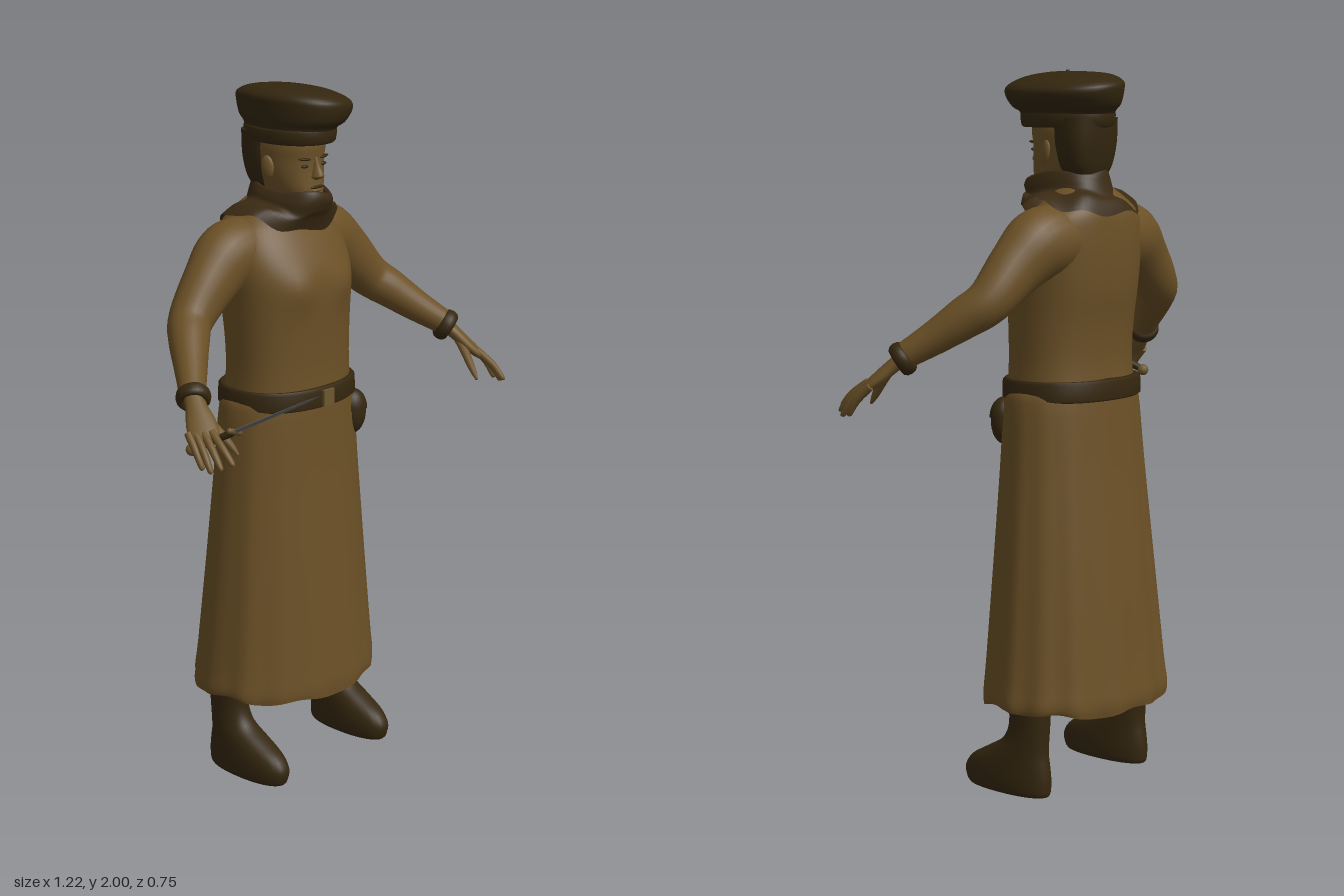
import * as THREE from 'three';

const V = (x, y, z) => new THREE.Vector3(x, y, z);
const mat = (name, color, side = THREE.FrontSide) => {
  const m = new THREE.MeshStandardMaterial({ color, side });
  m.name = name;
  return m;
};

// Smooth spline through rows of numbers, k steps per span
function refine(rows, k) {
  const out = [], at = i => rows[Math.max(0, Math.min(rows.length - 1, i))];
  for (let i = 0; i < rows.length - 1; i++)
    for (let j = 0; j < k; j++) {
      const t = j / k;
      out.push(rows[i].map((b, c) => {
        const a = at(i - 1)[c], d = at(i + 1)[c], e = at(i + 2)[c];
        return b + 0.5 * t * (d - a + t * (2 * a - 5 * b + 4 * d - e + t * (3 * (b - d) + e - a)));
      }));
    }
  out.push(rows[rows.length - 1]);
  return out;
}

// Skin closed rings of points, cap the ends, and turn all faces outward
function skin(rings, capStart = true, capEnd = true) {
  const n = rings[0].length, pts = rings.flat(), idx = [];
  for (let i = 0; i < rings.length - 1; i++)
    for (let j = 0; j < n; j++) {
      const a = i * n + j, b = i * n + (j + 1) % n;
      idx.push(a, a + n, b, b, a + n, b + n);
    }
  const cap = (ring, start, flip) => {
    const c = ring.reduce((s, p) => s.add(p), V(0, 0, 0)).divideScalar(n);
    const base = pts.length;
    pts.push(...ring.map(p => p.clone()), c);
    for (let j = 0; j < n; j++) {
      const a = base + j, b = base + (j + 1) % n;
      flip ? idx.push(b, a, base + n) : idx.push(a, b, base + n);
    }
  };
  if (capStart) cap(rings[0], 0, false);
  if (capEnd) cap(rings[rings.length - 1], 0, true);
  const mid = pts.reduce((s, p) => s.add(p), V(0, 0, 0)).divideScalar(pts.length);
  let vol = 0;
  for (let i = 0; i < idx.length; i += 3) {
    const [a, b, c] = [0, 1, 2].map(k => pts[idx[i + k]].clone().sub(mid));
    vol += a.dot(b.cross(c));
  }
  if (vol < 0) idx.reverse();
  const g = new THREE.BufferGeometry().setFromPoints(pts);
  g.setIndex(idx);
  g.computeVertexNormals();
  return g;
}

// Upright loft; rows are [y, half width, front z, back z, centre x]
function loft(rows, { k = 4, n = 40, pow = 2, warp, caps = [true, true] } = {}) {
  const rs = refine(rows.map(r => [r[0], r[1], r[2], r[3], r[4] || 0]), k);
  const se = v => Math.sign(v) * Math.abs(v) ** (2 / pow);
  const rings = rs.map(([y, w, f, b, cx], i) => Array.from({ length: n }, (_, j) => {
    const a = j / n * Math.PI * 2;
    const p = V(cx + w * se(Math.cos(a)), y, (f + b) / 2 + (f - b) / 2 * se(Math.sin(a)));
    if (warp) warp(p, i / (rs.length - 1), a);
    return p;
  }));
  return skin(rings, ...caps);
}

// Limb along a path; rows are [x, y, z, half width, half thickness]
function limb(rows, side, wide = [0, 0, 1], k = 4, n = 16) {
  const rs = refine(rows, k), ps = rs.map(r => V(r[0] * side, r[1], r[2]));
  const ref = V(wide[0] * side, wide[1], wide[2]);
  return skin(rs.map((r, i) => {
    const t = ps[Math.min(i + 1, ps.length - 1)].clone().sub(ps[Math.max(i - 1, 0)]).normalize();
    const u = ref.clone().addScaledVector(t, -ref.dot(t)).normalize(), v = t.cross(u);
    return Array.from({ length: n }, (_, j) => {
      const a = j / n * Math.PI * 2;
      return ps[i].clone().addScaledVector(u, Math.cos(a) * r[3]).addScaledVector(v, Math.sin(a) * r[4]);
    });
  }));
}

export function createModel() {
  const root = new THREE.Group();
  const cloth = mat('robe cloth', 0x6b5026, THREE.DoubleSide);
  const skinM = mat('skin', 0x6d5329);
  const dark = mat('dark felt', 0x33260f);
  const scarf = mat('collar cloth', 0x3a2a13, THREE.DoubleSide);
  const leather = mat('leather', 0x35270f);
  const brass = mat('brass', 0x6e5730);
  const steel = mat('steel', 0x6c6c6c);
  const add = (name, geo, m, pos, parent = root) => {
    const o = new THREE.Mesh(geo, m);
    o.name = name;
    if (pos) o.position.set(...pos);
    parent.add(o);
    return o;
  };

  // Robe: torso with chest relief, then the pleated skirt
  add('torso', loft([
    [1.1, .2, .012, -.285], [1.2, .193, .008, -.275], [1.3, .194, .01, -.28], [1.4, .198, .015, -.295],
    [1.48, .203, .008, -.3], [1.55, .2, -.025, -.3], [1.61, .175, -.065, -.295], [1.65, .125, -.09, -.275],
    [1.7, .068, -.07, -.225]], {
    pow: 2.3, n: 56, warp: (p, t, a) => {
      const s = Math.sin(a);
      if (s > 0) p.z += s * .014 * Math.exp(-(((Math.abs(p.x) - .09) / .055) ** 2) - ((p.y - 1.44) / .05) ** 2);
      else p.z -= s * .012 * Math.exp(-((p.x / .035) ** 2));
    }
  }), cloth);
  add('skirt', loft([
    [1.13, .195, .01, -.285], [1.1, .222, .014, -.29], [.9, .24, .024, -.308], [.6, .266, .045, -.34],
    [.35, .29, .062, -.365], [.27, .3, .068, -.374], [.24, .297, .066, -.37]], {
    pow: 2.15, n: 120, caps: [false, false], warp: (p, t, a) => {
      const back = Math.sin(a) < 0 ? 1 : .5;
      const f = 1 + t * back * (.022 * Math.cos(14 * a) + .012 * Math.cos(9 * a + 1)) - t * .012;
      p.x *= f;
      p.z = -.15 + (p.z + .15) * f;
      p.y += t ** 6 * (.01 * Math.cos(2 * a) + .006 * Math.sin(7 * a));
    }
  }), cloth);

  // Belt, buckle and pouch
  add('belt', loft([[1.1, .207, .022, -.297], [1.105, .213, .028, -.303], [1.15, .21, .028, -.303],
    [1.157, .203, .02, -.295]], { k: 1, n: 56, pow: 2.25 }), leather);
  add('buckle', new THREE.BoxGeometry(.042, .046, .012), brass, [-.005, 1.128, .029]);
  add('pouch', new THREE.SphereGeometry(1, 24, 16), leather, [.168, 1.035, -.035]).scale.set(.042, .066, .036);
  add('pouchFlap', new THREE.SphereGeometry(1, 24, 8, 0, Math.PI * 2, 0, Math.PI / 2), dark, [.168, 1.045, -.035])
    .scale.set(.045, .058, .04);

  // Wide collar rolled around the neck
  add('collar', loft([
    [1.66, .06, -.03, -.21], [1.705, .066, -.01, -.225], [1.718, .078, .004, -.24], [1.695, .09, .012, -.25],
    [1.672, .1, .002, -.262], [1.665, .14, -.012, -.285], [1.645, .178, -.028, -.302]], {
    pow: 2.3, n: 64, caps: [false, false], warp: (p, t, a) => {
      p.y += t ** 3 * (.008 - .048 * Math.abs(Math.sin(a)) ** 1.3 + .008 * Math.cos(7 * a));
      p.y += .007 * Math.sin(3 * a + t * 6) - (1 - t) * .014 * Math.sin(a);
    }
  }), scarf);

  // Head, face and hair
  add('head', loft([
    [1.64, .055, -.06, -.2], [1.668, .04, -.024, -.2], [1.69, .058, -.016, -.2], [1.72, .072, -.018, -.205],
    [1.76, .083, -.022, -.225], [1.8, .088, -.022, -.24], [1.84, .09, -.018, -.245], [1.9, .08, -.03, -.23]],
    { pow: 2.2 }), skinM);
  add('hair', loft([
    [1.705, .055, -.14, -.23], [1.74, .08, -.128, -.242], [1.8, .094, -.115, -.252],
    [1.87, .096, -.11, -.255]], { pow: 2.6 }), dark);
  add('nose', loft([[1.742, .006, -.016, -.04], [1.75, .017, .002, -.04], [1.758, .015, .005, -.04],
    [1.78, .009, -.008, -.04], [1.805, .007, -.018, -.04]], { n: 16 }), skinM);
  add('mouth', new THREE.SphereGeometry(1, 16, 8), leather, [0, 1.722, -.017]).scale.set(.026, .005, .004);
  add('lowerLip', new THREE.SphereGeometry(1, 16, 8), skinM, [0, 1.713, -.018]).scale.set(.02, .006, .006);

  // Soft tilted cap with a headband and stalk
  add('cap', loft([
    [1.865, .1, .016, -.255], [1.888, .104, .025, -.268, .002], [1.905, .116, .045, -.288, .008],
    [1.94, .13, .057, -.302, .018], [1.965, .127, .05, -.298, .016], [1.985, .092, .005, -.25, .004],
    [1.994, .04, -.06, -.18, 0], [1.996, .005, -.11, -.13, 0]], {
    n: 56, pow: 2.15, warp: (p, t) => { p.y -= .09 * p.x * Math.sin(t * Math.PI); }
  }), dark);
  add('capBand', loft([[1.843, .096, .008, -.25], [1.849, .104, .019, -.26], [1.88, .106, .022, -.264],
    [1.886, .1, .016, -.258]], { k: 2, pow: 2.15 }), leather);
  add('capStalk', new THREE.CylinderGeometry(.004, .006, .012, 10), dark, [0, 1.994, -.12]);

  // Paired parts
  for (const s of [1, -1]) {
    const label = s > 0 ? 'left' : 'right';
    add(label + 'Eye', new THREE.SphereGeometry(1, 14, 8), leather, [s * .036, 1.782, -.03]).scale.set(.013, .005, .007);
    const brow = add(label + 'Brow', new THREE.SphereGeometry(1, 14, 8), dark, [s * .038, 1.802, -.028]);
    brow.scale.set(.021, .004, .007);
    brow.rotation.set(0, s * .2, s * .1);
    const ear = add(label + 'Ear', new THREE.SphereGeometry(1, 16, 12), skinM, [s * .092, 1.778, -.118]);
    ear.scale.set(.009, .032, .019);
    ear.rotation.set(-.15, s * -.3, 0);

    add(label + 'Sleeve', limb([
      [.1, 1.54, -.18, .1, .095], [.19, 1.53, -.178, .092, .1], [.27, 1.475, -.168, .074, .083],
      [.36, 1.39, -.152, .062, .064], [.41, 1.345, -.108, .056, .057], [.465, 1.29, -.045, .045, .046],
      [.52, 1.24, .018, .035, .036]], s, [0, 0, 1], 5, 24), cloth);
    const wrist = V(s * .517, 1.236, .018), along = V(s * .055, -.055, .064).normalize();
    const cuff = add(label + 'Cuff', new THREE.TorusGeometry(.036, .012, 10, 28), leather, wrist.toArray());
    cuff.quaternion.setFromUnitVectors(V(0, 0, 1), along);
    cuff.scale.z = 1.7;

    // Hand with fanned fingers
    const hand = new THREE.Group();
    hand.name = label + 'Hand';
    root.add(hand);
    const wide = [-.55, -.1, .8];
    add('palm', limb([[.51, 1.245, .01, .028, .024], [.528, 1.218, .04, .029, .02], [.546, 1.185, .075, .04, .018],
      [.562, 1.158, .105, .041, .014], [.568, 1.146, .115, .032, .009]], s, wide), skinM, null, hand);
    [[.588, 1.15, .083, .602, 1.08, .14], [.576, 1.15, .1, .598, 1.076, .168], [.563, 1.152, .117, .583, 1.085, .19],
      [.548, 1.156, .13, .558, 1.095, .208]].forEach(([x, y, z, a, b, c], i) => {
      add('finger' + (i + 1), limb([[x, y + .012, z - .012, .011, .011],
        [x * .5 + a * .5 + .004, (y + b) / 2 + .008, (z + c) / 2, .0105, .0105],
        [a, b + .006, c - .004, .008, .008], [a, b, c, .003, .003]], s, wide, 3, 10), skinM, null, hand);
    });
    add('thumb', limb([[.528, 1.2, .06, .014, .014], [.514, 1.165, .1, .013, .013], [.5, 1.125, .14, .01, .01],
      [.494, 1.1, .162, .004, .004]], s, wide, 3, 10), skinM, null, hand);

    // Boot with a rounded toe
    add(label + 'Boot', loft([
      [0, .05, .048, -.232], [.012, .056, .056, -.237], [.045, .058, .061, -.238], [.08, .056, .035, -.234],
      [.115, .052, -.025, -.228], [.15, .047, -.082, -.228], [.2, .044, -.105, -.232], [.27, .046, -.102, -.236],
      [.33, .05, -.098, -.24]].map(r => [...r, s * .216]), { n: 32, pow: 2.2 }), leather);
  }

  // Dagger in the right hand, built upright and then turned to point forward
  const dagger = new THREE.Group();
  dagger.name = 'dagger';
  dagger.position.set(-.5, 1.165, .155);
  dagger.quaternion.setFromUnitVectors(V(0, 1, 0), V(.095, .125, .225).normalize());
  root.add(dagger);
  const blade = new THREE.CylinderGeometry(.009, .014, .225, 4).toNonIndexed();
  const tip = new THREE.CylinderGeometry(0, .009, .05, 4).toNonIndexed();
  [[blade, .1125], [tip, .25]].forEach(([g, y], i) => {
    g.computeVertexNormals();
    add(i ? 'bladeTip' : 'blade', g, steel, [0, y, 0], dagger).scale.z = .4;
  });
  const guard = add('guard', new THREE.CapsuleGeometry(.008, .05, 4, 10), brass, null, dagger);
  guard.rotation.z = Math.PI / 2;
  add('grip', new THREE.CylinderGeometry(.01, .011, .13, 12), leather, [0, -.068, 0], dagger);
  add('pommel', new THREE.SphereGeometry(.017, 14, 10), brass, [0, -.138, 0], dagger);
  return root;
}
